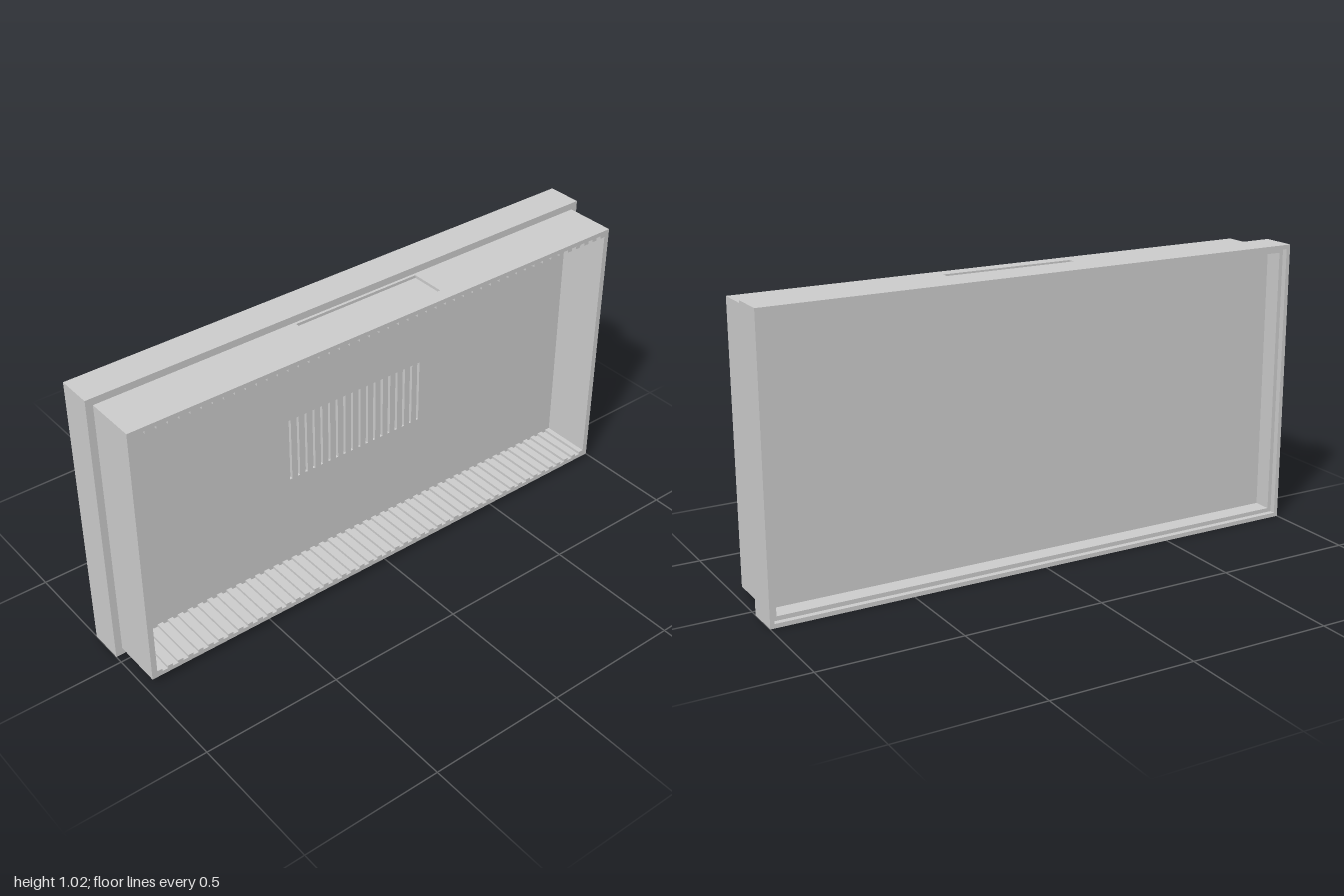
import * as THREE from 'three';

const H = 1.02, MID = H / 2;
const material = new THREE.MeshStandardMaterial({ color: 0xcccccc, flatShading: true });

// Closed path from corner points, used for outlines and holes
const points = (list) => list.map(([x, y]) => new THREE.Vector2(x, y));
const rect = (x0, y0, x1, y1) => points([[x0, y0], [x1, y0], [x1, y1], [x0, y1]]);
const inset = (d) => rect(-1 + d, d, 1 - d, H - d);

// Extrude an outline with holes between two z positions
function slab(name, outline, holes, z0, z1) {
  const shape = new THREE.Shape(outline);
  for (const h of holes) shape.holes.push(new THREE.Path(h));
  const geo = new THREE.ExtrudeGeometry(shape, { depth: z1 - z0, bevelEnabled: false });
  geo.translate(0, 0, z0);
  const mesh = new THREE.Mesh(geo, material);
  mesh.name = name;
  return mesh;
}

// Tray opening with a row of ribs along its floor and ceiling
function ribbedOpening() {
  const halfW = 0.955, halfH = 0.47, rib = 0.01, count = 48;
  const pitch = (2 * halfW) / (count + 0.5);
  const floor = [];
  for (let i = 0; i <= count; i++) {
    const x = -halfW + i * pitch;
    floor.push([x, -halfH + rib], [x + pitch / 2, -halfH + rib]);
    if (i < count) floor.push([x + pitch / 2, -halfH], [x + pitch, -halfH]);
  }
  const ceiling = floor.map(([x, y]) => [x, -y]).reverse();
  return points([...floor, ...ceiling].map(([x, y]) => [x, y + MID]));
}

// Outer outline of the tray, optionally with the shallow recess in its top
function trayOutline(recessed) {
  const w = 0.975, y0 = 0.025, y1 = 0.995, r = 0.245, d = 0.01;
  const notch = recessed ? [[r, y1], [r, y1 - d], [-r, y1 - d], [-r, y1]] : [];
  return points([[-w, y0], [w, y0], [w, y1], ...notch, [-w, y1]]);
}

export function createModel() {
  const model = new THREE.Group();
  model.name = 'shallowCase';

  // Front tray: plain, recessed and plain sections in depth
  const tray = new THREE.Group();
  tray.name = 'frontTray';
  const opening = ribbedOpening();
  tray.add(
    slab('trayRear', trayOutline(false), [opening], -0.03, -0.02),
    slab('trayTopRecess', trayOutline(true), [opening], -0.02, 0.105),
    slab('trayFront', trayOutline(false), [opening], 0.105, 0.155),
  );
  model.add(tray);

  // Back frame: thin outer rim, then a thicker ledge
  const frame = new THREE.Group();
  frame.name = 'backFrame';
  frame.add(
    slab('backRim', inset(0), [inset(0.015)], -0.155, -0.135),
    slab('backLedge', inset(0), [inset(0.03)], -0.135, -0.03),
  );
  model.add(frame);

  // Dividing panel with shallow vertical vent grooves on its front
  const grooves = [];
  const count = 18, pitch = 0.0325, width = 0.01;
  for (let i = 0; i < count; i++) {
    const x = (i - (count - 1) / 2) * pitch;
    grooves.push(rect(x - width / 2, 0.39, x + width / 2, 0.63));
  }
  const panel = new THREE.Group();
  panel.name = 'dividingPanel';
  panel.add(
    slab('ventedFace', inset(0.03), grooves, -0.042, -0.03),
    slab('panelBacking', inset(0.03), [], -0.07, -0.042),
  );
  model.add(panel);

  return model;
}
